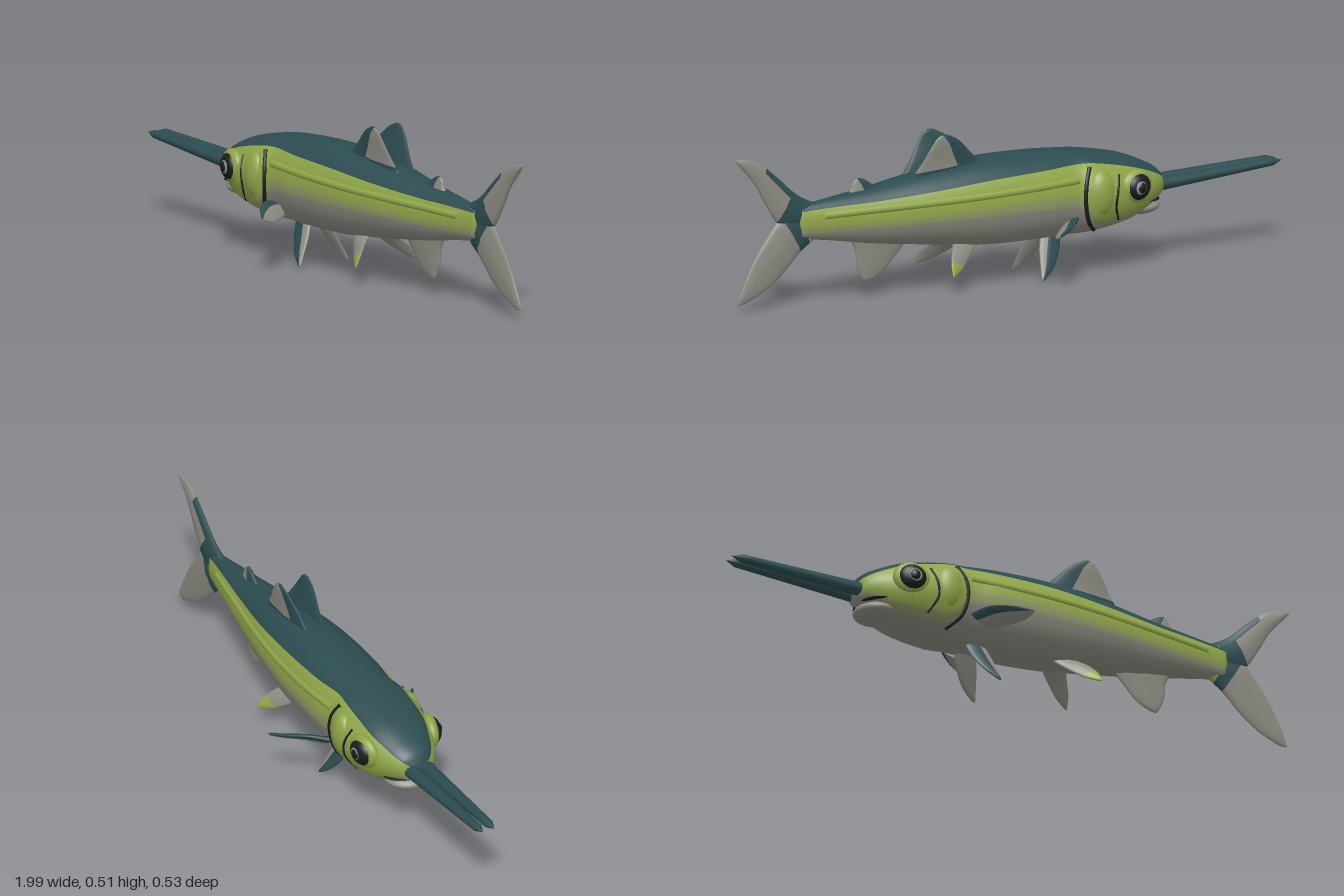
import * as THREE from 'three';

const mat = (name, color, extra = {}) => Object.assign(new THREE.MeshStandardMaterial({ color, ...extra }), { name });
const M = {
  teal: mat('darkTeal', 0x2c4c50),
  green: mat('leafGreen', 0x8fa548),
  olive: mat('paleOlive', 0x909a66),
  grey: mat('bellyGrey', 0x8c8c82),
  dark: mat('nearBlack', 0x181c1e),
};
const PALETTE = [M.teal, M.green, M.olive, M.grey, M.dark];
const TEAL = 0, GREEN = 1, OLIVE = 2, GREY = 3;

// Smooth closed skin from a grid of rings; each quad picks a palette colour
function skin(name, rows, cols, point, colour) {
  const pos = [], faces = PALETTE.map(() => []), root = new THREE.Vector3();
  for (let i = 0; i <= rows; i++) {
    for (let j = 0; j < cols; j++) {
      const p = point(i, j);
      pos.push(p.x, p.y, p.z);
      if (i === 0) root.addScaledVector(p, 1 / cols);
    }
  }
  const at = k => new THREE.Vector3().fromArray(pos, k * 3).sub(root);
  let volume = 0;
  for (let i = 0; i < rows; i++) {
    for (let j = 0; j < cols; j++) {
      const a = i * cols + j, b = i * cols + (j + 1) % cols, c = a + cols, d = b + cols;
      for (const t of [[a, b, c], [b, d, c]]) {
        faces[colour(i, j)].push(t);
        volume += at(t[0]).dot(at(t[1]).cross(at(t[2])));
      }
    }
  }
  const geo = new THREE.BufferGeometry(), index = [];
  geo.setAttribute('position', new THREE.Float32BufferAttribute(pos, 3));
  faces.forEach((list, m) => {
    if (!list.length) return;
    geo.addGroup(index.length, list.length * 3, m);
    for (const [a, b, c] of list) index.push(...(volume < 0 ? [a, c, b] : [a, b, c]));
  });
  geo.setIndex(index);
  geo.computeVertexNormals();
  const mesh = new THREE.Mesh(geo, PALETTE);
  mesh.name = name;
  return mesh;
}

// Lens-section fin between a leading and a trailing edge, side mirrors z
function fin(name, lead, trail, thick, colour, side = 1) {
  const curve = pts => new THREE.CatmullRomCurve3(pts.map(([x, y, z = 0]) => new THREE.Vector3(x, y, z * side)));
  const L = curve(lead), T = curve(trail), rows = 16, cols = 20;
  const chord = T.getPoint(0.4).sub(L.getPoint(0.4));
  const span = L.getPoint(0.9).sub(L.getPoint(0));
  const normal = chord.cross(span).normalize();
  if (normal.z * side < 0) normal.negate();
  return skin(name, rows, cols, (i, j) => {
    const t = i / rows, a = j / cols * Math.PI * 2;
    const u = (1 - Math.cos(a)) / 2;
    const ray = 1 + 0.12 * Math.cos(u * 26);
    const h = i === rows ? 0 : thick * (1 - 0.65 * t) * Math.sin(a) * ray;
    const p = L.getPoint(t).lerp(T.getPoint(t), i === rows ? 0.5 : u);
    return p.addScaledVector(normal, h);
  }, (i, j) => {
    const a = (j + 0.5) / cols * Math.PI * 2;
    return colour((i + 0.5) / rows, (1 - Math.cos(a)) / 2, a < Math.PI);
  });
}

// Body stations: x, then top, bottom, half width and three colour borders
const STATIONS = [
  [-0.565, 0.285, 0.225, 0.035, 0.275, 0.25, 0.235],
  [-0.53, 0.317, 0.208, 0.07, 0.295, 0.235, 0.222],
  [-0.48, 0.343, 0.18, 0.102, 0.317, 0.215, 0.195],
  [-0.42, 0.367, 0.157, 0.13, 0.338, 0.2, 0.178],
  [-0.34, 0.386, 0.14, 0.144, 0.357, 0.195, 0.168],
  [-0.25, 0.401, 0.131, 0.148, 0.372, 0.205, 0.175],
  [-0.215, 0.405, 0.13, 0.134, 0.372, 0.26, 0.225],
  [-0.1, 0.413, 0.128, 0.137, 0.368, 0.28, 0.245],
  [0.1, 0.414, 0.132, 0.132, 0.36, 0.276, 0.246],
  [0.3, 0.393, 0.155, 0.11, 0.343, 0.268, 0.245],
  [0.5, 0.362, 0.181, 0.074, 0.327, 0.262, 0.242],
  [0.65, 0.343, 0.207, 0.045, 0.32, 0.26, 0.24],
  [0.77, 0.328, 0.225, 0.02, 0.312, 0.262, 0.242],
];
const profile = new THREE.CubicInterpolant(
  new Float32Array(STATIONS.map(s => s[0])), new Float32Array(STATIONS.flatMap(s => s.slice(1))), 6);

function bodyMesh() {
  const steps = [6, 5, 3, 7], half = 21, rows = 90;
  const band = j => {
    let k = j < half ? j : 2 * half - 1 - j, b = 0;
    while (k >= steps[b]) k -= steps[b++];
    return b;
  };
  return skin('body', rows, half * 2, (i, j) => {
    const x = THREE.MathUtils.lerp(-0.565, 0.77, i / rows);
    const [top, bottom, w, ...borders] = profile.evaluate(x);
    const cy = (top + bottom) / 2, h = (top - bottom) / 2;
    const stops = [Math.PI / 2, ...borders.map(y => Math.asin(THREE.MathUtils.clamp((y - cy) / h, -0.97, 0.97))), -Math.PI / 2];
    let k = j <= half ? j : 2 * half - j, b = 0;
    while (b < 3 && k > steps[b]) k -= steps[b++];
    const a = THREE.MathUtils.lerp(stops[b], stops[b + 1], k / steps[b]);
    const s = i === 0 || i === rows ? 0 : 1;
    const z = w * Math.pow(Math.max(0, Math.cos(a)), 0.85) * (j <= half ? 1 : -1);
    return new THREE.Vector3(x, cy + h * Math.sin(a) * s, z * s);
  }, (i, j) => band(j));
}

function ellipsoid(name, material, p, r) {
  const mesh = new THREE.Mesh(new THREE.SphereGeometry(1, 28, 18), material);
  mesh.name = name;
  mesh.position.set(...p);
  mesh.scale.set(...r);
  return mesh;
}

function tube(name, material, pts, radius) {
  const curve = new THREE.CatmullRomCurve3(pts.map(p => new THREE.Vector3(...p)));
  const mesh = new THREE.Mesh(new THREE.TubeGeometry(curve, 24, radius, 8), material);
  mesh.name = name;
  return mesh;
}

// Point on the body's flank at x and height y
function flank(x, y, side, lift = 0) {
  const [top, bottom, w] = profile.evaluate(x);
  const s = (y - (top + bottom) / 2) / ((top - bottom) / 2);
  return [x, y, side * (w * Math.pow(Math.max(0, 1 - s * s), 0.425) + lift)];
}

export function createModel() {
  const model = new THREE.Group();
  model.name = 'longBeakedFish';
  model.add(bodyMesh());

  // Lower jaw and mouth line
  model.add(ellipsoid('lowerJaw', M.grey, [-0.475, 0.193, 0], [0.077, 0.028, 0.078]));
  model.add(ellipsoid('mouth', M.dark, [-0.485, 0.218, 0], [0.06, 0.007, 0.089]));

  for (const side of [1, -1]) {
    const tag = side > 0 ? 'left' : 'right';

    // Twin beak rods
    const rod = skin(tag + 'Beak', 14, 14, (i, j) => {
      const t = i / 14, a = j / 14 * Math.PI * 2, s = i === 14 ? 0 : 1;
      const ry = (0.023 - 0.011 * t) * s, rz = (0.026 - 0.011 * t) * s;
      return new THREE.Vector3(-0.5 - 0.5 * t, 0.253 + 0.028 * t + ry * Math.sin(a),
        side * (0.026 - 0.006 * t) + rz * Math.cos(a));
    }, () => TEAL);
    model.add(rod);

    // Eye: lid, dark ball, iris and pupil
    const eye = new THREE.Group();
    eye.name = tag + 'Eye';
    eye.position.set(-0.41, 0.283, side * 0.118);
    eye.rotation.y = -side * 0.2;
    eye.add(ellipsoid('eyelid', M.green, [0, 0, 0], [0.062, 0.055, 0.028]));
    eye.add(ellipsoid('eyeball', M.dark, [0, 0, side * 0.012], [0.046, 0.043, 0.026]));
    eye.add(ellipsoid('iris', M.grey, [0.004, 0, side * 0.025], [0.027, 0.027, 0.0155]));
    eye.add(ellipsoid('pupil', M.dark, [0.004, 0, side * 0.034], [0.017, 0.018, 0.0095]));
    model.add(eye);

    // Gill cover bulge and slits
    model.add(ellipsoid(tag + 'GillCover', M.green, [-0.28, 0.275, side * 0.118], [0.05, 0.075, 0.038]));
    model.add(tube(tag + 'GillSlit', M.dark, [[-0.245, 0.362], [-0.222, 0.31], [-0.218, 0.25], [-0.235, 0.19], [-0.275, 0.15]]
      .map(([x, y]) => flank(x, y, side)), 0.007));
    model.add(tube(tag + 'CheekLine', M.dark, [[-0.345, 0.33], [-0.33, 0.28], [-0.325, 0.23], [-0.35, 0.18]]
      .map(([x, y]) => flank(x, y, side)), 0.004));

    // Raised flank ridge
    model.add(tube(tag + 'FlankRidge', M.green, [-0.2, -0.05, 0.1, 0.25, 0.4, 0.55, 0.68]
      .map((x, i) => flank(x, 0.325 - i * 0.005, side, -0.006)), 0.013));

    // Paired dorsal blades
    model.add(fin(tag + 'DorsalFin',
      [[0.1, 0.395, 0.03], [0.15, 0.445, 0.035], [0.2, 0.492, 0.044], [0.25, 0.517, 0.049]],
      [[0.36, 0.38, 0.03], [0.33, 0.42, 0.036], [0.3, 0.47, 0.045], [0.275, 0.508, 0.049]],
      0.013, (t, u, outer) => (u < 0.35 || t < 0.12 || !outer ? TEAL : GREY), side));

    // Pectoral fins
    model.add(fin(tag + 'PectoralFin',
      [[-0.2, 0.205, 0.12], [-0.165, 0.215, 0.175], [-0.11, 0.205, 0.23], [-0.05, 0.19, 0.266]],
      [[-0.13, 0.165, 0.12], [-0.085, 0.167, 0.175], [-0.055, 0.172, 0.225], [-0.045, 0.185, 0.264]],
      0.012, (t, u) => (u < 0.3 ? TEAL : GREY), side));

    // Front and rear belly fins
    model.add(fin(tag + 'FrontBellyFin',
      [[-0.185, 0.145, 0.03], [-0.165, 0.09, 0.055], [-0.13, 0.04, 0.08], [-0.082, 0.004, 0.098]],
      [[-0.11, 0.145, 0.03], [-0.095, 0.1, 0.05], [-0.085, 0.05, 0.075], [-0.078, 0.006, 0.095]],
      0.013, (t, u, outer) => (outer && u < 0.7 ? TEAL : GREY), side));
    model.add(fin(tag + 'RearBellyFin',
      [[0.12, 0.15, 0.03], [0.16, 0.115, 0.06], [0.21, 0.08, 0.095], [0.262, 0.06, 0.125]],
      [[0.21, 0.16, 0.03], [0.235, 0.135, 0.07], [0.255, 0.105, 0.1], [0.264, 0.068, 0.127]],
      0.012, (t, u, outer) => (t > 0.65 && outer ? GREEN : GREY), side));
  }

  // Small back fin and anal fin
  model.add(fin('smallBackFin',
    [[0.47, 0.355], [0.495, 0.375], [0.515, 0.388], [0.54, 0.397]],
    [[0.575, 0.345], [0.565, 0.365], [0.56, 0.38], [0.55, 0.393]],
    0.014, (t, u) => (u < 0.5 ? TEAL : GREY)));
  model.add(fin('analFin',
    [[0.36, 0.175], [0.405, 0.125], [0.45, 0.08], [0.51, 0.053]],
    [[0.57, 0.205], [0.55, 0.16], [0.545, 0.11], [0.522, 0.058]],
    0.016, () => GREY));

  // Forked tail
  model.add(fin('upperTailLobe',
    [[0.69, 0.33], [0.76, 0.365], [0.845, 0.44], [0.91, 0.49], [0.995, 0.51]],
    [[0.69, 0.26], [0.82, 0.27], [0.88, 0.35], [0.92, 0.42], [0.99, 0.5]],
    0.02, (t, u) => ((t < 0.3 && t > 0.12) || (u < 0.2 && t < 0.6) ? TEAL : t < 0.2 ? GREEN : GREY)));
  model.add(fin('lowerTailLobe',
    [[0.69, 0.225], [0.75, 0.18], [0.82, 0.11], [0.89, 0.06], [0.98, 0.024]],
    [[0.69, 0.29], [0.82, 0.295], [0.875, 0.235], [0.92, 0.17], [0.985, 0.04]],
    0.02, t => (t > 0.12 && t < 0.26 ? TEAL : t < 0.2 ? GREEN : GREY)));
  return model;
}
